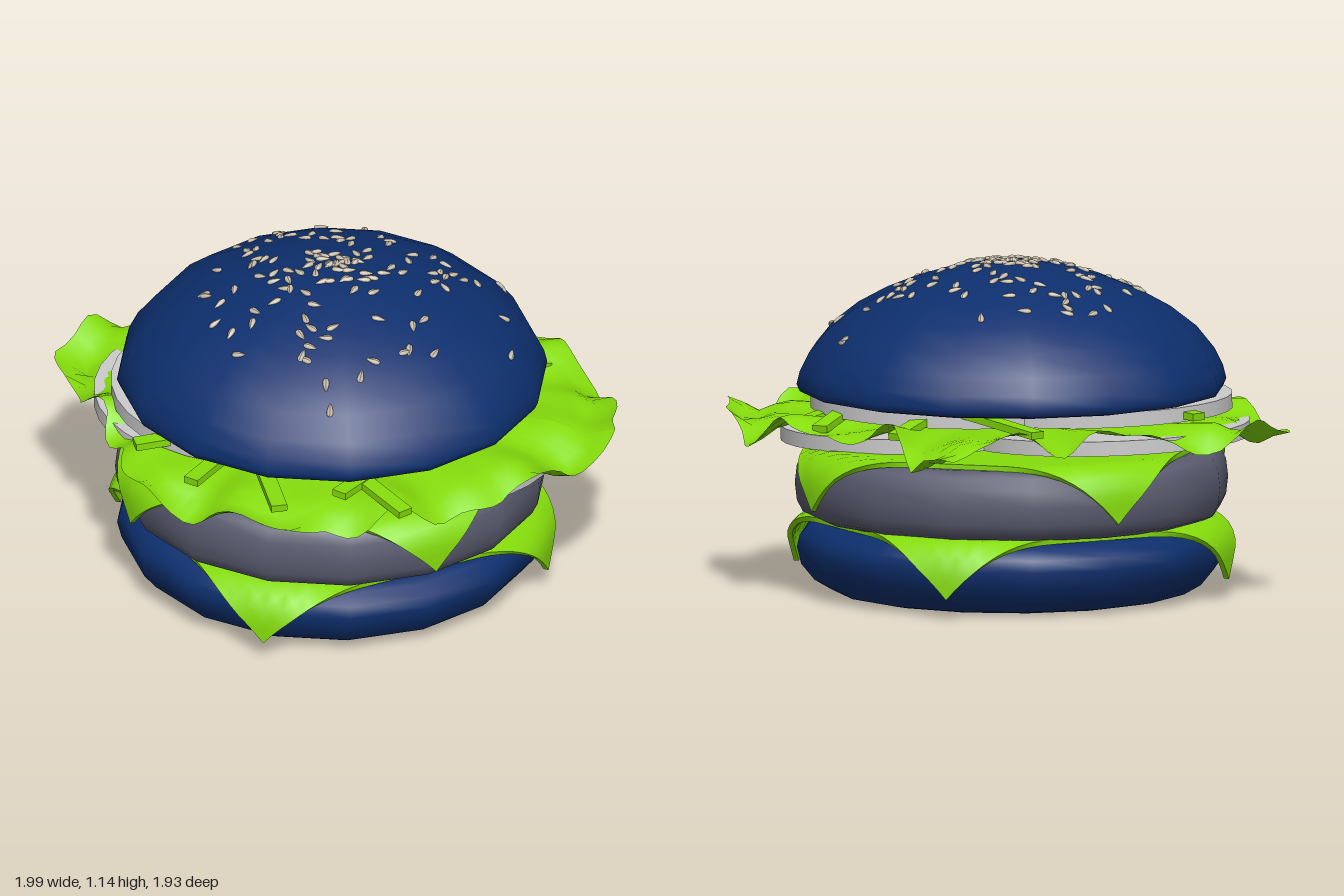
import * as THREE from 'three';

const mat = (color, side = THREE.FrontSide) => new THREE.MeshStandardMaterial({ color, side });
const CZ = 0.05;      // the stack sits slightly forward
const SIDES = 16;

function add(parent, name, geometry, material, x = 0, y = 0, z = 0) {
  const mesh = new THREE.Mesh(geometry, material);
  mesh.name = name;
  mesh.position.set(x, y, z);
  parent.add(mesh);
  return mesh;
}

const vectors = (points) => points.map(([x, y]) => new THREE.Vector2(x, y));
const lathe = (points) => new THREE.LatheGeometry(vectors(points), SIDES);

// Square slice whose corners bend down over a round rim
function cheeseGeometry(half, flat, bend) {
  const geo = new THREE.BoxGeometry(2 * half, 0.018, 2 * half, 28, 1, 28);
  const p = geo.attributes.position;
  const arc = bend * Math.PI / 2;
  for (let i = 0; i < p.count; i++) {
    const x = p.getX(i), t = p.getY(i), z = p.getZ(i);
    const s = Math.hypot(x, z);
    if (s <= flat) continue;
    const a = Math.min((s - flat) / bend, Math.PI / 2);
    const hang = Math.max(0, s - flat - arc);
    const r = flat + Math.sin(a) * (bend + t);
    const y = Math.cos(a) * (bend + t) - bend - hang;
    p.setXYZ(i, x / s * r, y, z / s * r);
  }
  geo.computeVertexNormals();
  return geo;
}

// Ruffled leaf: outline radius every 15 degrees, ripples growing to the edge
function lettuceGeometry() {
  const outline = [0.99, 0.93, 0.87, 0.86, 0.86, 0.87, 0.96, 0.91, 0.92, 0.82, 0.8, 0.87,
    1, 0.91, 0.75, 0.72, 0.71, 0.74, 0.97, 0.72, 0.75, 0.79, 0.87, 0.93];
  const geo = new THREE.RingGeometry(0.001, 1, 144, 18);
  geo.rotateX(-Math.PI / 2);
  const p = geo.attributes.position;
  for (let i = 0; i < p.count; i++) {
    const x = p.getX(i), z = p.getZ(i);
    const k = Math.hypot(x, z);
    const a = (Math.atan2(z, x) + 2 * Math.PI) % (2 * Math.PI);
    const f = a / (Math.PI / 12), n = Math.floor(f) % 24;
    const edge = THREE.MathUtils.lerp(outline[n], outline[(n + 1) % 24], f - Math.floor(f));
    const r = k * (edge + 0.012 * Math.sin(a * 23));
    const w = Math.pow(k, 4);
    const y = w * (0.035 * Math.sin(a * 11 + k * 3) + 0.02 * Math.sin(a * 19 + 1))
      - 0.045 * Math.exp(-Math.pow((r - 0.88) / 0.06, 2));
    p.setXYZ(i, Math.cos(a) * r, y, Math.sin(a) * r);
  }
  geo.computeVertexNormals();
  return geo;
}

export function createModel() {
  const model = new THREE.Group();
  model.name = 'burger';
  const bun = mat(0x0d2f6e), green = mat(0x85dc0c), pale = mat(0xcccccc);

  // Bottom bun
  add(model, 'bottomBun', lathe([[0, 0], [0.56, 0], [0.61, 0.01], [0.67, 0.045], [0.715, 0.1],
    [0.73, 0.16], [0.72, 0.2], [0.69, 0.235], [0.64, 0.25], [0, 0.25]]), bun, 0, 0, CZ);

  // Patty
  add(model, 'patty', lathe([[0, 0.262], [0.67, 0.262], [0.71, 0.28], [0.73, 0.32], [0.737, 0.38],
    [0.73, 0.44], [0.71, 0.48], [0.67, 0.5], [0, 0.5]]), mat(0x5a5c70), 0, 0, CZ);

  // Cheese slices, turned 45 degrees from each other
  const cheese = cheeseGeometry(0.64, 0.66, 0.1);
  add(model, 'lowerCheese', cheese, green, 0, 0.258, CZ).rotation.y = Math.PI / 4;
  add(model, 'upperCheese', cheese, green, 0, 0.508, CZ);

  // Round slices below and above the lettuce
  const slice = new THREE.CylinderGeometry(0.49, 0.49, 0.05, 32);
  [['lowerSlice', -0.33, 0.56, 0.06, -0.03], ['lowerSlice', 0.31, 0.542, 0.06, -0.025],
    ['upperSlice', -0.25, 0.645, 0.12, -0.02], ['upperSlice', 0.18, 0.65, -0.02, 0.02],
  ].forEach(([name, x, y, z, tilt]) => {
    add(model, name, slice, pale, x, y, z).rotation.z = tilt;
  });

  // Lettuce leaf
  add(model, 'lettuce', lettuceGeometry(), mat(0x85dc0c, THREE.DoubleSide), 0, 0.61, 0);

  // Thin strips: outer end x, z, heading, length, outward droop
  const strips = new THREE.Group();
  strips.name = 'strips';
  model.add(strips);
  [[-0.26, 0.81, 1.85, 0.45, 0.04], [0.08, 0.89, 1.05, 0.5, 0.05], [0.49, 0.77, 0.6, 0.5, 0.1],
    [0.25, 0.76, 1.9, 0.4, 0], [-0.3, -0.64, -2.6, 0.4, 0.1], [0.2, -0.65, -1.3, 0.4, 0.2],
    [-0.72, -0.14, -2.6, 0.4, 0.05], [0.62, -0.4, -0.9, 0.4, 0.22], [0.5, -0.54, -1.4, 0.35, 0.2],
    [-0.52, 0.62, 2.6, 0.4, 0.05],
  ].forEach(([x, z, heading, length, droop]) => {
    const geo = new THREE.BoxGeometry(length, 0.025, 0.055);
    geo.translate(-length / 2, 0, 0);
    const strip = add(strips, 'strip', geo, green, x, 0.66 - droop * 0.25, z);
    strip.rotation.set(0, -heading, -droop);
  });

  // Top bun
  const profile = [[0, 0.682], [0.68, 0.682], [0.72, 0.69], [0.731, 0.715], [0.72, 0.76], [0.69, 0.82],
    [0.63, 0.895], [0.54, 0.965], [0.44, 1.02], [0.33, 1.065], [0.2, 1.105], [0.1, 1.122], [0, 1.128]];
  add(model, 'topBun', lathe(profile), bun, 0, 0, CZ);

  // Sesame seeds, denser near the crown
  const seeds = new THREE.Group();
  seeds.name = 'seeds';
  seeds.position.z = CZ;
  model.add(seeds);
  const seedGeo = new THREE.SphereGeometry(1, 7, 6);
  seedGeo.rotateZ(-Math.PI / 2);
  const sp = seedGeo.attributes.position;
  for (let i = 0; i < sp.count; i++) {
    const taper = 1 - 0.5 * sp.getX(i);
    sp.setXYZ(i, sp.getX(i) * 0.025, sp.getY(i) * 0.008 * taper, sp.getZ(i) * 0.011 * taper);
  }
  seedGeo.computeVertexNormals();
  const seedMat = mat(0xc8bfae);
  let state = 7;
  const random = () => (state = (state * 16807) % 2147483647) / 2147483647;
  const step = 2 * Math.PI / SIDES;
  for (let i = 0; i < 125; i++) {
    const a = random() * 2 * Math.PI;
    const r = i % 16 === 0 ? 0.5 + 0.15 * random() : 0.5 * random();
    // radius matched to the flat-sided cross-section
    const q = r * Math.cos((a % step) - step / 2) / Math.cos(step / 2);
    const n = profile.findIndex(([pr], j) => j > 3 && pr <= q);
    const [r0, y0] = profile[n - 1], [r1, y1] = profile[n];
    const y = y0 + (y1 - y0) * (q - r0) / (r1 - r0);
    const normal = new THREE.Vector3((y0 - y1) * -Math.cos(a), r0 - r1, (y0 - y1) * -Math.sin(a));
    normal.x *= -Math.sign(y1 - y0) * -1;
    normal.z *= -Math.sign(y1 - y0) * -1;
    normal.set(Math.cos(a) * (y1 - y0), r0 - r1, Math.sin(a) * (y1 - y0)).normalize();
    const seed = add(seeds, 'seed', seedGeo, seedMat, Math.cos(a) * r, y + 0.002, Math.sin(a) * r);
    seed.quaternion.setFromUnitVectors(new THREE.Vector3(0, 1, 0), normal);
    seed.rotateY(random() * 2 * Math.PI);
  }
  return model;
}
